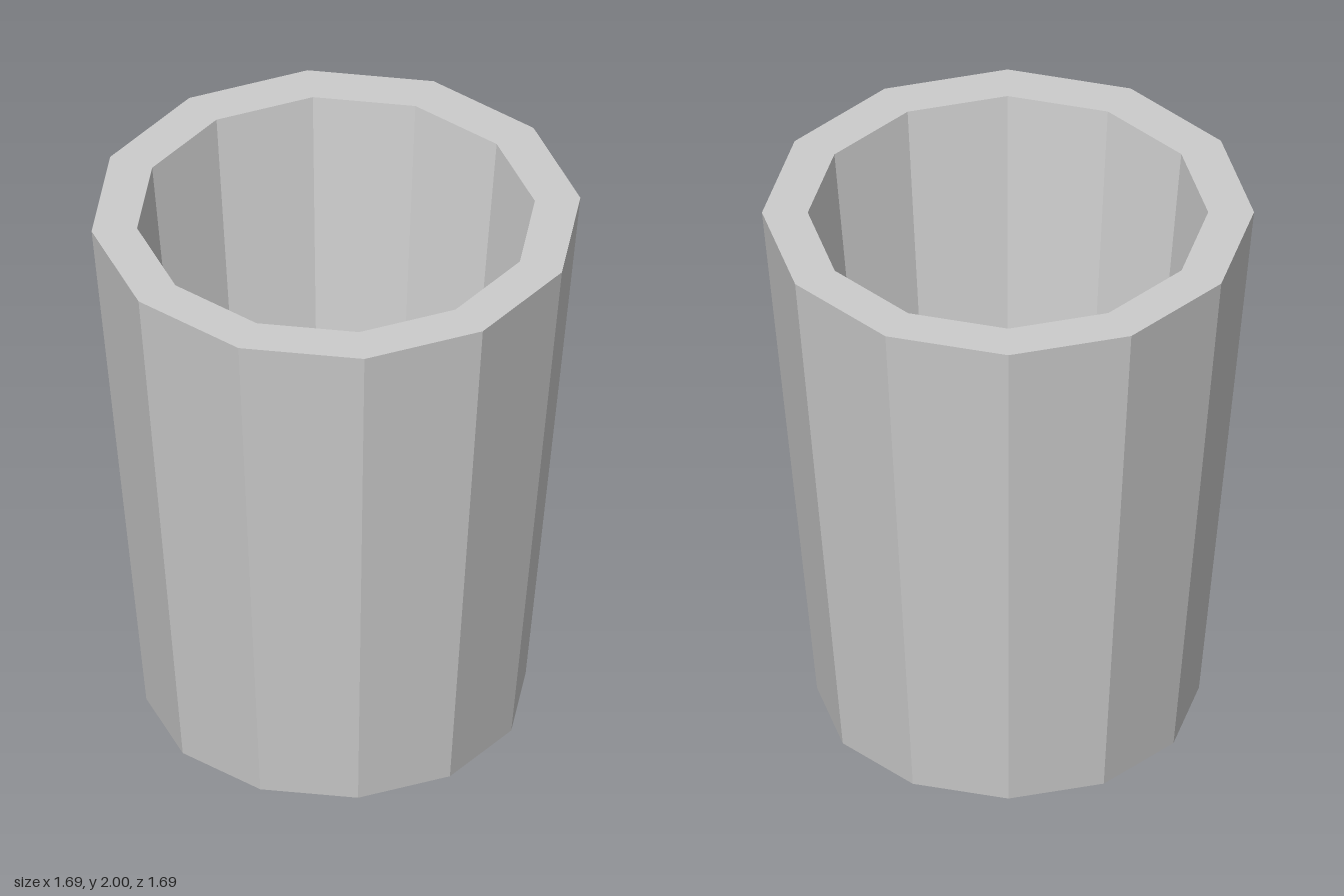
import * as THREE from 'three';

const SIDES = 12;

export function createModel() {
  const group = new THREE.Group();
  group.name = 'cup';
  const material = new THREE.MeshStandardMaterial({ color: 0xcccccc, flatShading: true });

  // Half section: base, tapered outside, flat rim, tapered inside, floor
  const profile = [
    [0, 0], [0.654, 0], [0.843, 2],
    [0.686, 2], [0.53, 0.35], [0, 0.35],
  ].map(([r, y]) => new THREE.Vector2(r, y));

  const body = new THREE.Mesh(new THREE.LatheGeometry(profile, SIDES), material);
  body.name = 'cupBody';
  group.add(body);
  return group;
}
